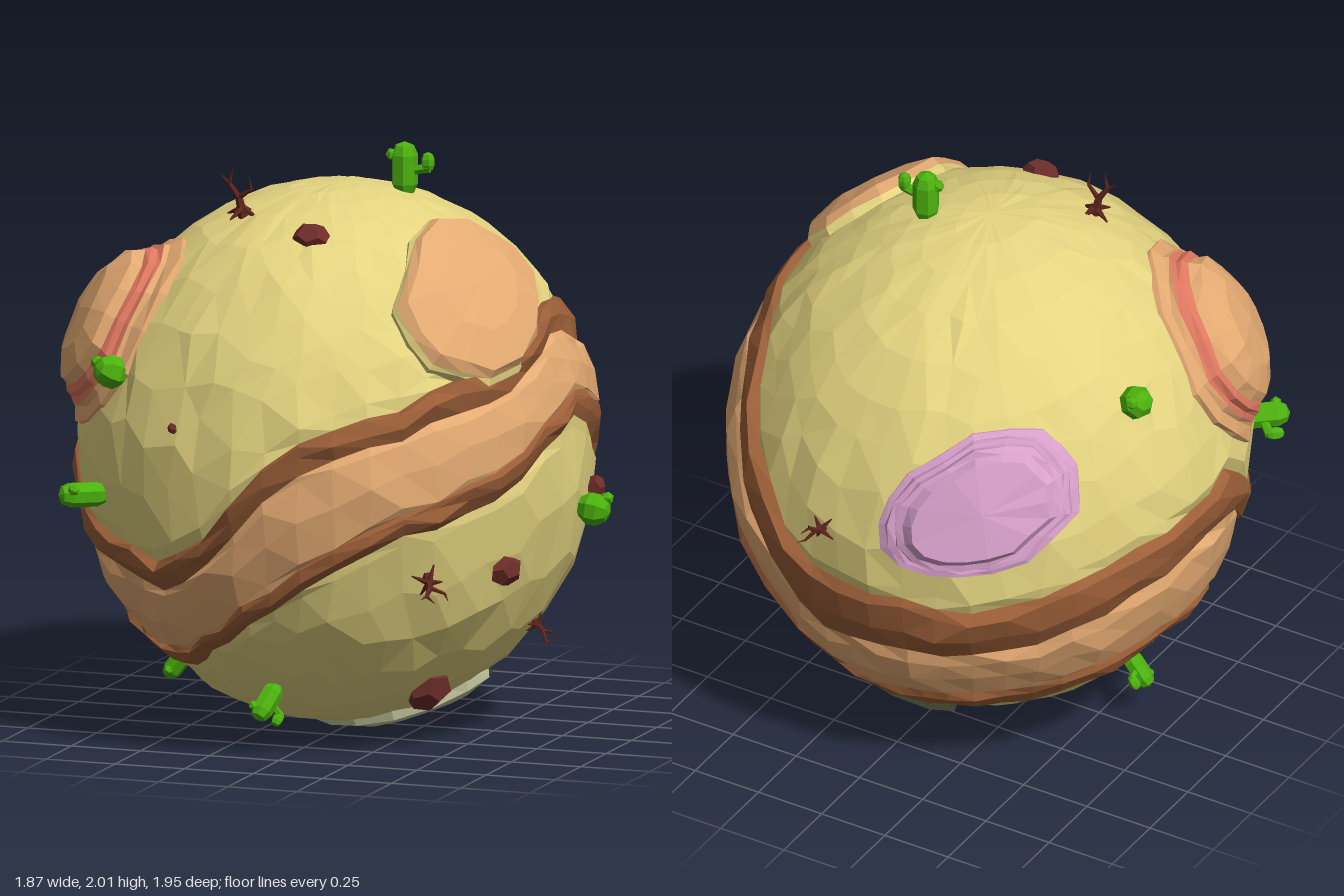
import * as THREE from 'three';

const mat = (name, color) => Object.assign(new THREE.MeshStandardMaterial({ color }), { name });
const sand = mat('sand', 0xe4d480), brown = mat('canyonBrown', 0x9c5f38), orange = mat('mesaOrange', 0xe4aa72);
const red = mat('strataRed', 0xdf7860), purple = mat('mesaPurple', 0xd8a0cb), green = mat('cactusGreen', 0x4cb20e);
const rockRed = mat('rockRed', 0x6f2e2a), bark = mat('deadBark', 0x5c241c);
const grey = mat('paleStone', 0xc8caa0), dark = mat('darkStone', 0x3e3f2e);

let seed = 11;
const rnd = () => ((seed = (seed * 16807) % 2147483647) / 2147483647) * 2 - 1;
const V = (x, y, z) => new THREE.Vector3(x, y, z);
const CENTER = V(-0.04, 0.95, 0.05), RADII = V(0.88, 0.925, 0.91);

// Point on the planet in a direction, raised by h
const surface = (dir, h = 0) => dir.clone().normalize().multiply(RADII).multiplyScalar(1 + h).add(CENTER);

// Faceted skin over closed rings, one material per band between rings
function loft(name, rings, mats) {
  const unique = [...new Set(mats)], buckets = unique.map(() => []);
  const tri = (out, a, b, c) => {
    const area = b.clone().sub(a).cross(c.clone().sub(a)).length();
    if (area > 1e-9) out.push(a, b, c);
  };
  mats.forEach((m, i) => {
    const out = buckets[unique.indexOf(m)], n = rings[i].length;
    for (let j = 0; j < n; j++) {
      const k = (j + 1) % n;
      const [a, b, c, d] = [rings[i][j], rings[i][k], rings[i + 1][k], rings[i + 1][j]];
      if (a.distanceTo(c) < b.distanceTo(d)) { tri(out, a, d, c); tri(out, a, c, b); }
      else { tri(out, a, d, b); tri(out, d, c, b); }
    }
  });
  const geo = new THREE.BufferGeometry().setFromPoints(buckets.flat());
  let start = 0;
  buckets.forEach((b, i) => { geo.addGroup(start, b.length, i); start += b.length; });
  geo.computeVertexNormals();
  const mesh = new THREE.Mesh(geo, unique);
  mesh.name = name;
  return mesh;
}

// Faceted version of a built-in geometry
function flat(geo, material, name) {
  const g = geo.index ? geo.toNonIndexed() : geo;
  g.computeVertexNormals();
  const mesh = new THREE.Mesh(g, material);
  mesh.name = name;
  return mesh;
}

// Canyon edges: [longitude from the front towards +x, latitude], in degrees
const UPPER = [[-173, -6], [-150, -7], [-117, 1], [-80, 7], [-67, -10], [-49, -14], [-25, -17], [-10, -11], [2, 4],
  [9, 12], [31, 18], [56, 24], [94, 35], [119, 35], [133, 26], [152, 8], [164, -5]];
const LOWER = [[-139, -47], [-90, -34], [-60, -44], [-32, -49], [-13, -38], [10, -23], [30, -10], [58, -4], [80, 8],
  [93, 11], [106, 3], [117, -3], [129, -13], [136, -23], [146, -38], [158, -55], [175, -57]];
function edgeAt(table, lon) {
  const first = table[0], last = table[table.length - 1];
  const t = [[last[0] - 360, last[1]], ...table, [first[0] + 360, first[1]]];
  const i = t.findIndex((p, k) => k > 0 && lon <= p[0]);
  const [a, b] = [t[i - 1], t[i]];
  return a[1] + (b[1] - a[1]) * (lon - a[0]) / (b[0] - a[0]);
}

function planet() {
  const N = 46, rings = [], mats = [];
  const columns = Array.from({ length: N }, (_, j) => {
    const lon = -180 + (j + 0.5) * 360 / N;
    // Brown ridges are wider at the back
    const ridge = 0.22 + 0.06 * (1 - Math.cos(lon * Math.PI / 180)) + rnd() * 0.02;
    return { lon, ridge, u: edgeAt(UPPER, lon) + rnd() * 1.3, l: edgeAt(LOWER, lon) + rnd() * 1.3 };
  });
  const addRing = (latitude, h, wobble, material) => {
    rings.push(columns.map((c) => {
      let lat = latitude(c);
      const k = Math.cos(lat * Math.PI / 180);
      lat += rnd() * wobble * k;
      const la = lat * Math.PI / 180, lo = (c.lon + rnd() * wobble * 0.9) * Math.PI / 180;
      const dir = V(Math.cos(la) * Math.sin(lo), Math.sin(la), Math.cos(la) * Math.cos(lo));
      return surface(dir, h + rnd() * 0.012 * k);
    }));
    if (rings.length > 1) mats.push(material);
  };
  // Upper plains
  for (let i = 0; i <= 9; i++) addRing((c) => 90 + (c.u + 3 - 90) * i / 9, 0, i && i < 9 ? 2.2 : 0, sand);
  addRing((c) => c.u, -0.012, 0, sand);
  // Canyon: brown ridges either side of an orange floor; [share of the ridge, height, material]
  const across = (c, s) => c.u + (c.l - c.u) * s;
  [[0.12, 0.018, brown], [0.55, 0.02, brown], [1, -0.01, brown], [1.2, 0.008, orange]]
    .forEach(([s, h, m]) => addRing((c) => across(c, c.ridge * s), h, 0.6, m));
  addRing((c) => across(c, 0.52), 0.016, 0.6, orange);
  [[1, 0.01, orange], [0.85, -0.003, orange], [0.75, 0.018, brown], [0.4, 0.014, brown], [0, -0.02, brown]]
    .forEach(([s, h, m]) => addRing((c) => across(c, 1 - c.ridge * s), h, 0.6, m));
  // Lower plains, sunk a little beside the canyon
  for (let i = 0; i <= 7; i++) {
    addRing((c) => c.l - 2.5 + (-87.5 - c.l) * i / 7, i < 2 ? -0.012 : 0, i && i < 7 ? 2.2 : 0, sand);
  }
  return loft('planet', rings, mats);
}

// Layered plateau on the surface; layers are [outline scale, height, material]
function mesa(name, dir, long, rx, ry, layers, n = 15) {
  const d = dir.clone().normalize();
  const u = long.clone().addScaledVector(d, -long.dot(d)).normalize(), v = d.clone().cross(u);
  const bumps = Array.from({ length: n }, () => 1 + rnd() * 0.08);
  const rings = layers.map(([s, h]) => bumps.map((q, k) => {
    const a = k / n * Math.PI * 2, r = s * q * (1 + rnd() * 0.02);
    const p = d.clone().addScaledVector(u, Math.cos(a) * rx * r).addScaledVector(v, Math.sin(a) * ry * r);
    return surface(p, h + (s ? rnd() * 0.005 : 0));
  }));
  return loft(name, rings, layers.slice(1).map((l) => l[2]));
}

// Stand a prop on the surface, pointing along aim
function place(obj, dir, roll = 0, aim = dir) {
  const d = aim.clone().normalize();
  obj.position.copy(surface(dir));
  obj.quaternion.setFromUnitVectors(V(0, 1, 0), d).multiply(new THREE.Quaternion().setFromAxisAngle(V(0, 1, 0), roll));
  return obj;
}

// Tapered limb between two points
function limb(a, b, r0, r1, material, name, sides = 5) {
  const d = b.clone().sub(a);
  const m = flat(new THREE.CylinderGeometry(r1, r0, d.length(), sides), material, name);
  m.position.copy(a).addScaledVector(d, 0.5);
  m.quaternion.setFromUnitVectors(V(0, 1, 0), d.normalize());
  return m;
}

function cactus(s = 1) {
  const g = new THREE.Group();
  g.name = 'cactus';
  const trunk = flat(new THREE.CapsuleGeometry(0.046, 0.1, 2, 7), green, 'cactusTrunk');
  trunk.position.y = 0.07;
  const bulb = flat(new THREE.CapsuleGeometry(0.024, 0.02, 2, 6), green, 'cactusArmTip');
  bulb.position.set(0.085, 0.1, 0);
  const nub = flat(new THREE.IcosahedronGeometry(0.022, 0), green, 'cactusBud');
  nub.position.set(-0.042, 0.12, 0.01);
  g.add(trunk, bulb, nub, limb(V(0.02, 0.065, 0), V(0.09, 0.08, 0), 0.016, 0.018, green, 'cactusArm', 6));
  g.scale.setScalar(s);
  return g;
}

// Round cactus with a small bud
function barrelCactus() {
  const g = new THREE.Group();
  g.name = 'barrelCactus';
  const body = flat(new THREE.SphereGeometry(0.06, 7, 5), green, 'barrelBody');
  body.position.y = 0.037;
  const bud = flat(new THREE.IcosahedronGeometry(0.024, 0), green, 'barrelBud');
  bud.position.set(0.045, 0.075, 0);
  g.add(body, bud);
  return g;
}

function deadTree(s = 1) {
  const g = new THREE.Group();
  g.name = 'deadTree';
  const fork = V(-0.012, 0.065, 0), bend = V(-0.045, 0.115, 0.005);
  [[V(0.01, -0.03, 0), fork, 0.022, 0.014], [fork, bend, 0.013, 0.008], [bend, V(-0.03, 0.17, 0.01), 0.008, 0.001],
    [bend, V(-0.08, 0.145, 0), 0.007, 0.001], [fork, V(0.04, 0.1, 0.015), 0.011, 0.006],
    [V(0.04, 0.1, 0.015), V(0.035, 0.15, 0.02), 0.006, 0.001]]
    .forEach(([a, b, p, q]) => g.add(limb(a, b, p, q, bark, 'branch')));
  for (let i = 0; i < 4; i++) {
    const a = i * 1.6 + 0.3;
    g.add(limb(V(0, 0.025, 0), V(Math.cos(a) * 0.07, -0.003, Math.sin(a) * 0.07), 0.015, 0.003, bark, 'root'));
  }
  g.scale.setScalar(s);
  return g;
}

export function createModel() {
  const model = new THREE.Group();
  model.name = 'desertPlanet';
  model.add(planet());

  // Plateaus
  model.add(
    mesa('stripedMesa', V(-0.725, 0.45, 0.37), V(0.3, 0.9, 0), 0.44, 0.38, [[0, 0.145], [0.35, 0.14, orange],
      [0.58, 0.11, orange], [0.64, 0.075, orange], [0.71, 0.068, red], [0.74, 0.045, red], [0.8, 0.04, red],
      [0.83, 0.022, orange], [0.97, 0.016, orange], [1.02, -0.03, orange]]),
    mesa('orangeMesa', V(0.58, 0.585, 0.26), V(0, -0.42, 0.9), 0.44, 0.3, [[0, 0.06], [0.5, 0.065, orange],
      [0.9, 0.055, orange], [1, 0.028, orange], [1.05, 0.012, sand], [1.09, -0.03, sand]]),
    mesa('purpleMesa', V(-0.42, 0.28, -0.73), V(-0.62, 0.32, 0.62), 0.43, 0.27, [[0, 0.09], [0.6, 0.095, purple],
      [0.7, 0.066, purple], [0.78, 0.064, purple], [0.81, 0.04, purple], [0.88, 0.038, purple],
      [0.91, 0.016, purple], [1, 0.012, purple], [1.04, -0.03, purple]], 18),
    mesa('stoneMesa', V(0.22, -0.83, -0.06), V(1, 0, 0), 0.4, 0.29, [[0, 0.028], [0.6, 0.032, grey],
      [0.9, 0.026, grey], [1, -0.03, grey]], 13),
    mesa('darkHollow', V(0.2, -0.82, -0.32), V(1, 0, 0), 0.3, 0.125, [[0, 0.06], [0.7, 0.062, dark],
      [0.96, 0.055, dark], [1, -0.03, dark]], 10),
  );

  // Cacti: direction, roll, size, lean
  [[V(0.22, 0.9, -0.08), 0, 1, V(0, 1, 0)], [V(-0.64, -0.08, 0.64), 2.6, 0.95, V(-0.75, 0.02, 0.6)],
    [V(-0.03, -0.74, 0.57), 4.7, 0.8, V(-0.25, -0.7, 0.65)], [V(-0.56, -0.72, 0.02), 1.5, 0.75]]
    .forEach(([d, roll, s, aim]) => model.add(place(cactus(s), d, roll, aim)));
  [[V(-0.58, 0.32, 0.61), 2], [V(-0.74, 0.53, -0.24), 1], [V(0.9, -0.15, -0.05), 3]]
    .forEach(([d, roll]) => model.add(place(barrelCactus(), d, roll)));

  // Dead trees: direction, roll, size, lean
  [[V(-0.26, 0.85, 0.29), 0, 0.95, V(0, 1, 0.05)], [V(0.6, -0.31, 0.67), 0.8, 0.85],
    [V(0.74, -0.55, 0), 2, 0.65], [V(0.13, 0.11, -0.9), 1.2, 0.75]]
    .forEach(([d, roll, s, aim]) => model.add(place(deadTree(s), d, roll, aim)));

  // Rocks: direction and size
  [[V(0.06, 0.8, 0.43), 0.06], [V(0.77, -0.3, 0.38), 0.06], [V(0.44, -0.74, 0.28), 0.088],
    [V(0.87, -0.12, -0.21), 0.05], [V(-0.31, 0.2, 0.85), 0.02]]
    .forEach(([d, s], i) => {
      const rock = place(flat(new THREE.DodecahedronGeometry(s, 0), rockRed, 'rock'), d, i * 1.3);
      rock.scale.set(1.1, 0.75, 0.9);
      model.add(rock);
    });
  return model;
}
